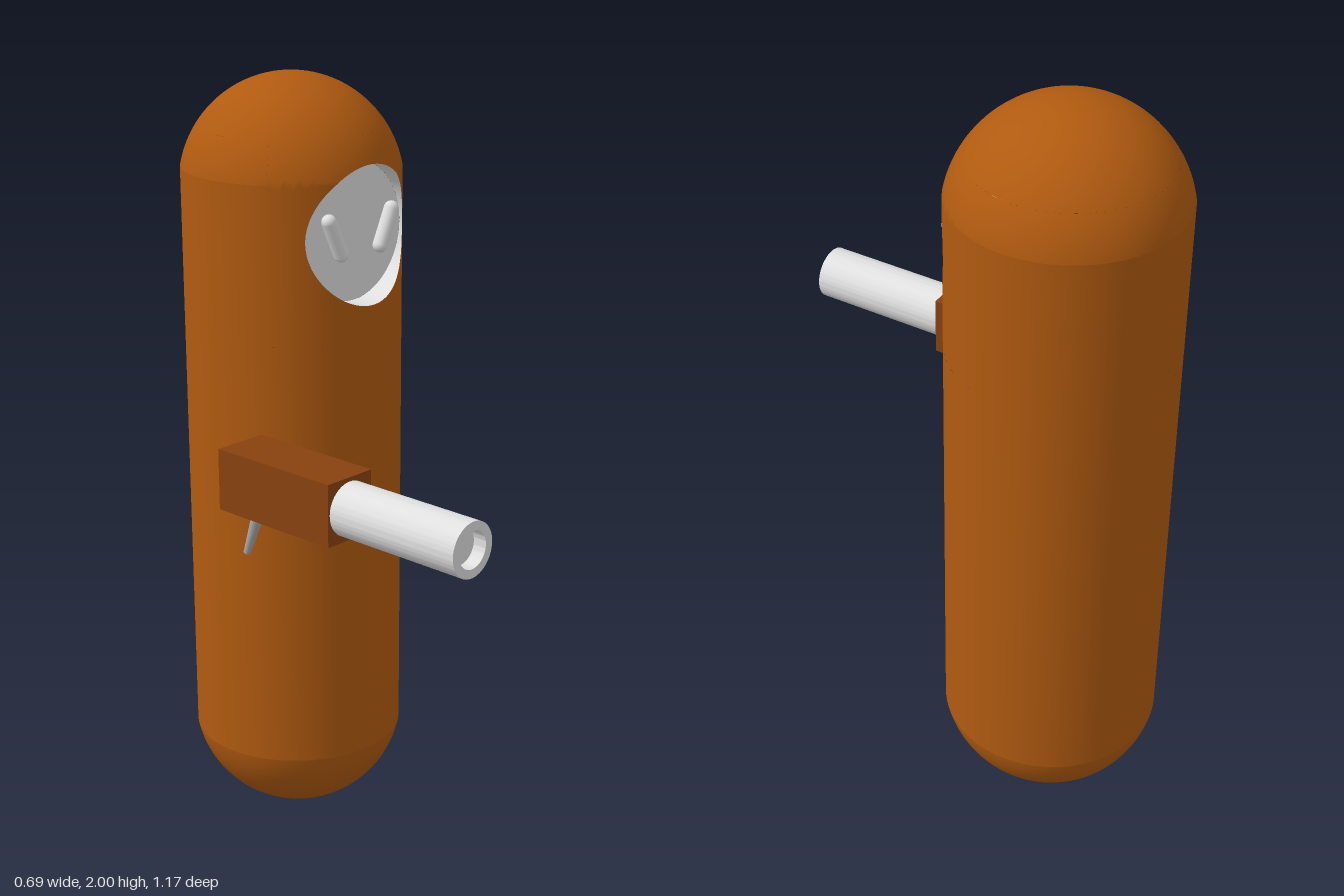
import * as THREE from 'three';
import { toCreasedNormals } from 'three/addons/utils/BufferGeometryUtils.js';
import { ParametricGeometry } from 'three/addons/geometries/ParametricGeometry.js';

const CX = 0.063, CZ = -0.306;             // body axis
const R = 0.279, CAP_R = 0.284;            // body and cap radii
const TOP = 2 - CAP_R, BOTTOM = CAP_R;     // cap centres
const CAP_H = Math.sqrt(CAP_R ** 2 - R ** 2);
const FACE_Y = 1.629, FACE_R = 0.174, FACE_Z = -0.097;
const Y0 = 1.37, Y1 = 1.87, SPREAD = 1;    // patch of body around the face opening

const material = (name, color) => {
  const m = new THREE.MeshStandardMaterial({ color });
  m.name = name;
  return m;
};

export function createModel() {
  const orange = material('orangeBrown', 0xb05a10);
  const brown = material('darkBrown', 0x88420f);
  const grey = material('lightGrey', 0xe0e0e0);
  const darkGrey = material('midGrey', 0xa8a8a8);

  const model = new THREE.Group();
  const group = (name) => {
    const g = new THREE.Group();
    g.name = name;
    model.add(g);
    return g;
  };
  const add = (parent, name, geometry, mat, x = 0, y = 0, z = 0) => {
    const mesh = new THREE.Mesh(geometry, mat);
    mesh.name = name;
    mesh.position.set(x, y, z);
    parent.add(mesh);
    return mesh;
  };

  // Body: a round-ended pill
  const body = group('body');
  const capEnd = Math.acos(CAP_H / CAP_R);
  const capMid = Math.acos((Y1 - TOP) / CAP_R);
  const wallBottom = BOTTOM - CAP_H, wallTop = TOP + CAP_H;
  const wall = (y0, y1, start, length) => {
    const g = new THREE.CylinderGeometry(R, R, y1 - y0, 72, 1, true, start, length);
    g.translate(CX, (y0 + y1) / 2, CZ);
    return g;
  };
  const cap = (phi, phiLength, start, length) =>
    new THREE.SphereGeometry(CAP_R, 72, 20, phi, phiLength, start, length);
  const rest = 2 * Math.PI - 2 * SPREAD;
  add(body, 'bottomCap', cap(0, 2 * Math.PI, Math.PI - capEnd, capEnd), orange, CX, BOTTOM, CZ);
  add(body, 'lowerBody', wall(wallBottom, Y0, 0, 2 * Math.PI), orange);
  add(body, 'upperBodyBack', wall(Y0, wallTop, SPREAD, rest), orange);
  add(body, 'headBack', cap(Math.PI / 2 + SPREAD, rest, capMid, capEnd - capMid), orange, CX, TOP, CZ);
  add(body, 'topCap', cap(0, 2 * Math.PI, 0, capMid), orange, CX, TOP, CZ);

  // Front of the head, running from the round opening out to the patch edge
  const radiusAt = (y) =>
    y > wallTop ? Math.sqrt(CAP_R ** 2 - (y - TOP) ** 2) : R;
  const headFront = (u, v, target) => {
    const a = -2 * Math.PI * u, c = Math.cos(a), s = Math.sin(a);
    const k = 1 / Math.max(Math.abs(c), Math.abs(s));
    const holeY = FACE_Y + FACE_R * s;
    const holeAngle = Math.asin(FACE_R * c / radiusAt(holeY));
    const angle = THREE.MathUtils.lerp(holeAngle, SPREAD * c * k, v);
    const y = THREE.MathUtils.lerp(holeY, (Y0 + Y1) / 2 + (Y1 - Y0) / 2 * s * k, v);
    const r = radiusAt(y);
    target.set(CX + r * Math.sin(angle), y, CZ + r * Math.cos(angle));
  };
  add(body, 'headFront', new ParametricGeometry(headFront, 96, 16), orange);

  // Recessed face with its wall
  const face = group('face');
  const recess = (u, v, target) => {
    const a = 2 * Math.PI * u;
    const x = FACE_R * Math.cos(a), y = FACE_Y + FACE_R * Math.sin(a);
    const rim = CZ + Math.sqrt(radiusAt(y) ** 2 - x * x);
    target.set(CX + x, y, THREE.MathUtils.lerp(rim, FACE_Z, v));
  };
  add(face, 'faceRecessWall', new ParametricGeometry(recess, 96, 2), grey);
  add(face, 'facePlate', new THREE.CircleGeometry(FACE_R, 64), grey, CX, FACE_Y, FACE_Z);

  // Slanted eyes
  for (const side of [-1, 1]) {
    const eye = add(face, side < 0 ? 'rightEye' : 'leftEye',
      new THREE.CapsuleGeometry(0.019, 0.096, 6, 16), grey, CX + side * 0.091, 1.631, -0.068);
    eye.rotation.z = -side * 0.44;
  }

  // Blaster floating at the right side
  const blaster = group('blaster');
  const GX = -0.272, GY = 1.072;
  add(blaster, 'blasterBody', new THREE.BoxGeometry(0.147, 0.157, 0.37), brown, GX, GY, 0.025);
  const ring = new THREE.Shape().absarc(0, 0, 0.068, 0, 2 * Math.PI, false);
  ring.holes.push(new THREE.Path().absarc(0, 0, 0.046, 0, 2 * Math.PI, true));
  const tube = new THREE.ExtrudeGeometry(ring, { depth: 0.385, bevelEnabled: false, curveSegments: 40 });
  add(blaster, 'barrel', toCreasedNormals(tube, 0.6), grey, GX, GY, 0.2);
  add(blaster, 'boreEnd', new THREE.CircleGeometry(0.046, 40), grey, GX, GY, 0.55);

  // Tapered grip leaning backwards
  const grip = add(blaster, 'grip', new THREE.CylinderGeometry(0.018, 0.009, 0.16, 20), darkGrey, GX, 0.936, -0.116);
  grip.rotation.x = 0.36;

  return model;
}
